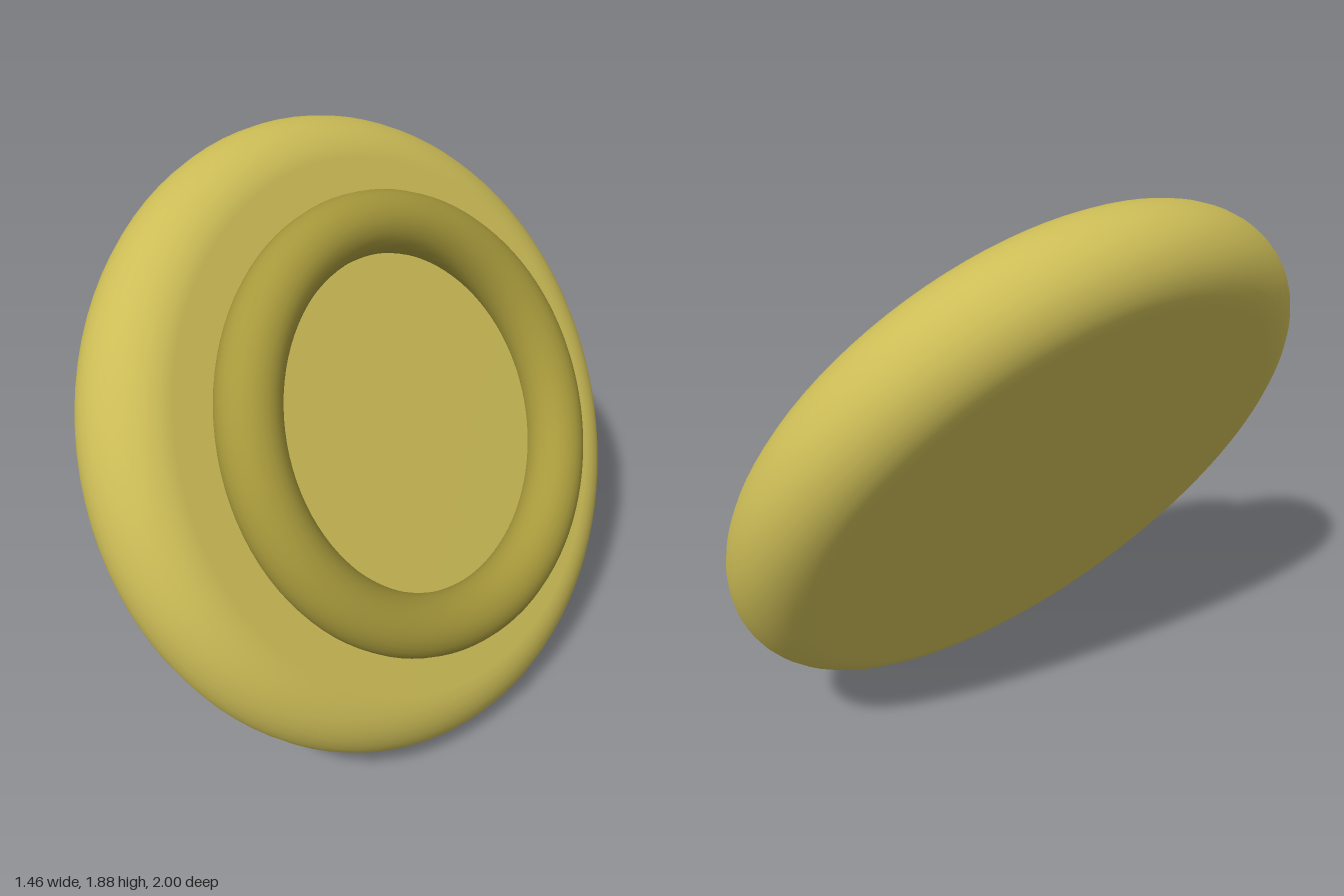
import * as THREE from 'three';

export function createModel() {
  const group = new THREE.Group();
  const paleGold = new THREE.MeshStandardMaterial({ color: 0xcdbd57 });
  paleGold.name = 'paleGold';
  const darkGold = new THREE.MeshStandardMaterial({ color: 0xa6983b });
  darkGold.name = 'darkGold';

  // Round-edged disc, turned around its own y axis
  const rimRadius = 0.875, halfThickness = 0.185, steps = 16;
  const profile = [new THREE.Vector2(0, -halfThickness)];
  for (let i = 0; i <= steps; i++) {
    const a = -Math.PI / 2 + (Math.PI * i) / steps;
    profile.push(new THREE.Vector2(
      rimRadius + halfThickness * Math.cos(a), halfThickness * Math.sin(a)));
  }
  profile.push(new THREE.Vector2(0, halfThickness));
  const disc = new THREE.Mesh(new THREE.LatheGeometry(profile, 96), paleGold);
  disc.name = 'disc';

  // Raised ring half sunk into the disc's face
  const ringGeometry = new THREE.TorusGeometry(0.652, 0.102, 24, 96);
  ringGeometry.rotateX(Math.PI / 2);
  const ring = new THREE.Mesh(ringGeometry, darkGold);
  ring.name = 'raisedRing';
  ring.position.y = 0.228;

  // Tilt the whole button so its face looks right, up and forward
  const button = new THREE.Group();
  button.name = 'tiltedButton';
  button.add(disc, ring);
  const facing = new THREE.Vector3(0.78, 0.507, 0.365).normalize();
  button.quaternion.setFromUnitVectors(new THREE.Vector3(0, 1, 0), facing);
  button.position.y = 0.94;
  group.add(button);
  return group;
}
